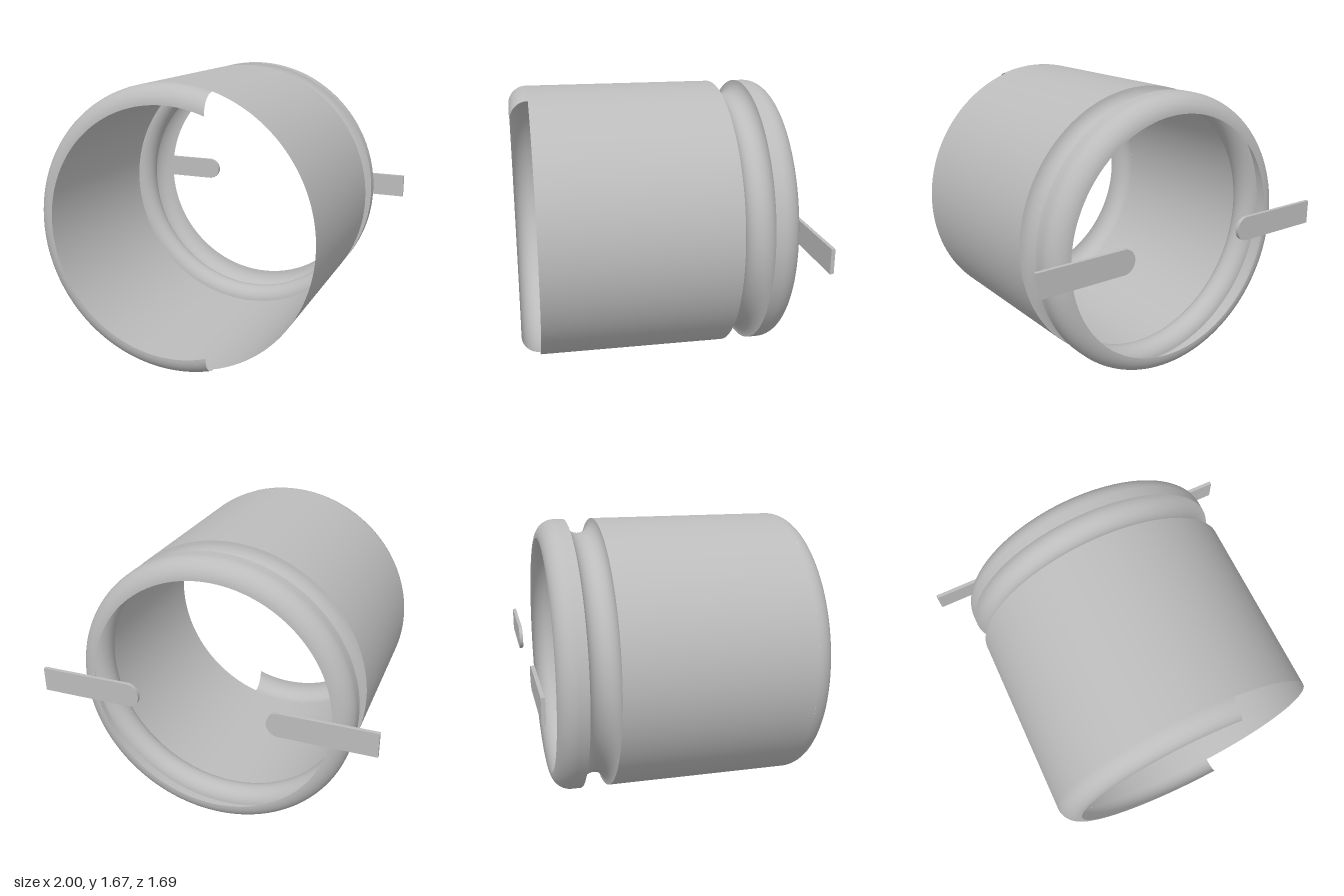
import * as THREE from 'three';

const R = 0.833;        // shell radius
const FILLET = 0.11;    // radius of the rolled rims
const CUT_X = 0.25;     // front rim stops at this plane
const FRONT_Z = 0.735;  // where the front rim starts

const arc = (cr, cz, rad, a0, a1, n) =>
  Array.from({ length: n + 1 }, (_, i) => {
    const a = a0 + (a1 - a0) * i / n;
    return new THREE.Vector2(cr + rad * Math.cos(a), cz + rad * Math.sin(a));
  });

export function createModel() {
  const model = new THREE.Group();
  const shell = new THREE.MeshStandardMaterial({ color: 0xbcbcbc, side: THREE.DoubleSide });
  shell.name = 'plain grey';

  const ring = new THREE.Group();
  ring.name = 'sleeve';
  ring.position.y = R;
  model.add(ring);

  const add = (parent, name, geometry) => {
    const mesh = new THREE.Mesh(geometry, shell);
    mesh.name = name;
    parent.add(mesh);
    return mesh;
  };
  // Profile of (radius, z) turned around the z axis
  const turned = (name, points) =>
    add(ring, name, new THREE.LatheGeometry(points, 128).rotateX(Math.PI / 2));

  // Thin cylindrical wall, round groove and rolled back rim
  turned('wall', [new THREE.Vector2(R, -0.4), new THREE.Vector2(R, FRONT_Z)]);
  turned('groove', arc(R, -0.487, 0.087, -Math.PI / 2, -Math.PI * 1.5, 20));
  turned('backRim', [
    ...arc(R - FILLET, -0.74 + FILLET, FILLET, -Math.PI / 2, 0, 14),
    new THREE.Vector2(R, -0.574),
  ]);

  // Rolled front rim, ended by a straight cut at CUT_X
  const rim = new THREE.PlaneGeometry(1, 1, 96, 14);
  const pos = rim.attributes.position, uv = rim.attributes.uv;
  for (let i = 0; i < pos.count; i++) {
    const t = uv.getY(i) * Math.PI / 2;
    const r = R - FILLET + FILLET * Math.cos(t);
    const start = Math.acos(CUT_X / r);
    const a = start + uv.getX(i) * (Math.PI * 2 - 2 * start);
    pos.setXYZ(i, r * Math.cos(a), r * Math.sin(a), FRONT_Z + FILLET * Math.sin(t));
  }
  rim.computeVertexNormals();
  add(ring, 'frontRim', rim);

  // Flat tabs behind the sleeve, rounded at the inner end
  const h = 0.0725, inner = 0.385;
  for (const side of [1, -1]) {
    const s = new THREE.Shape();
    s.moveTo(1, -h);
    s.lineTo(1, h);
    s.lineTo(inner + h, h);
    s.absarc(inner + h, 0, h, Math.PI / 2, Math.PI * 1.5, false);
    s.closePath();
    const tab = add(model, side > 0 ? 'leftTab' : 'rightTab',
      new THREE.ExtrudeGeometry(s, { depth: 0.022, bevelEnabled: false, curveSegments: 20 }));
    // Half turn about z mirrors the symmetric tab
    if (side < 0) tab.rotation.z = Math.PI;
    tab.position.set(0, R + 0.003, -0.848);
  }
  return model;
}
